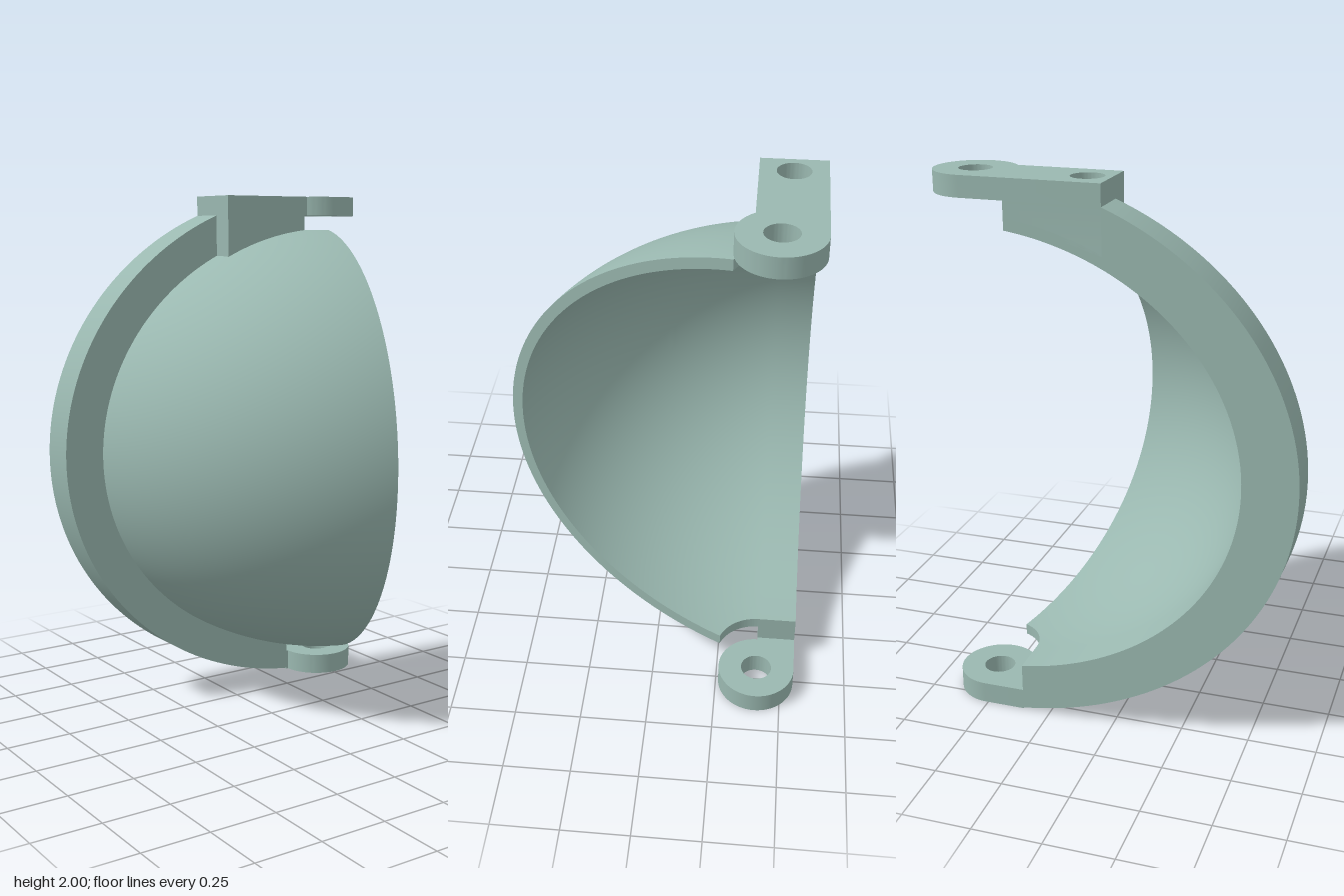
import * as THREE from 'three';
import { toCreasedNormals } from 'three/addons/utils/BufferGeometryUtils.js';

// Hinge axis (vertical), mid height and key sizes
const HX = 0.51, HZ = -0.405, CY = 1.005, BACK = -0.55;
const OUT = { a: 1.015, b: 0.873 }, INN = { a: 0.974, b: 0.832 };
const CLEAR = 0.155, EAR = 0.145, HOLE = 0.058;
const BOLT = { x: 0.1, z: -0.435 };

const paint = new THREE.MeshStandardMaterial({ color: 0x9ab8b0 });
paint.name = 'sage green';

function part(name, geometry) {
  const mesh = new THREE.Mesh(toCreasedNormals(geometry, 0.6), paint);
  mesh.name = name;
  return mesh;
}

// Height of an upper shell surface above plan position x, z
function shellY(e, x, z) {
  const r = Math.hypot(x - HX, Math.max(z - HZ, 0));
  return CY + e.b * Math.sqrt(Math.max(0, 1 - (r / e.a) ** 2));
}

// Half ellipse from top to bottom as [distance from axis, height]
function halfProfile(e, n) {
  const t0 = Math.asin(CLEAR / e.a), pts = [];
  for (let i = 0; i <= n; i++) {
    const t = t0 + (Math.PI - 2 * t0) * i / n;
    pts.push([e.a * Math.sin(t), CY + e.b * Math.cos(t)]);
  }
  return pts;
}

// Ellipsoidal shell swept round the hinge, with a straight strip at the back
function shellGeometry() {
  const n = 110, sweep = 64, strip = 10, end = THREE.MathUtils.degToRad(70);
  const loop = [...halfProfile(OUT, n), ...halfProfile(INN, n).reverse()];
  const m = loop.length, rows = strip + sweep, pos = [], index = [], inHole = [];
  for (let u = 0; u <= rows; u++) {
    const phi = Math.max(0, u - strip) / sweep * end;
    const shift = (BACK - HZ) * Math.max(0, 1 - u / strip);
    loop.forEach(([r, y], v) => {
      let x = HX - r * Math.cos(phi), z = HZ + shift + r * Math.sin(phi);
      // push points inside the bolt hole out to its rim
      const dx = x - BOLT.x, dz = z - BOLT.z, d = Math.hypot(dx, dz) || 1e-6;
      const inside = y > CY && d < HOLE;
      if (inside) {
        x = BOLT.x + dx * HOLE / d;
        z = BOLT.z + dz * HOLE / d;
        y = shellY(v <= n ? OUT : INN, x, z);
      }
      inHole.push(inside);
      pos.push(x, y, z);
    });
  }
  const tri = (a, b, c) => {
    if (!(inHole[a] && inHole[b] && inHole[c])) index.push(a, b, c);
  };
  for (let u = 0; u < rows; u++) {
    for (let v = 0; v < m; v++) {
      const a = u * m + v, b = u * m + (v + 1) % m;
      tri(a, b, a + m);
      tri(b, b + m, a + m);
    }
  }
  // rim faces at both ends of the sweep
  const top = rows * m;
  for (let i = 0; i < n; i++) {
    const o = i, o2 = i + 1, k = m - 1 - i, k2 = m - 2 - i;
    tri(top + o, top + o2, top + k);
    tri(top + o2, top + k2, top + k);
    tri(o, k, o2);
    tri(o2, k, k2);
  }
  const g = new THREE.BufferGeometry();
  g.setAttribute('position', new THREE.Float32BufferAttribute(pos, 3));
  g.setIndex(index);
  return g;
}

// Crescent flange round the back of the shell
function flangeGeometry() {
  const arc = (a, b, cy, xTop, xBottom) => {
    const t0 = Math.asin((HX - xTop) / a), t1 = Math.PI - Math.asin((HX - xBottom) / a);
    return Array.from({ length: 81 }, (_, i) => {
      const t = t0 + (t1 - t0) * i / 80;
      return new THREE.Vector2(HX - a * Math.sin(t), Math.max(0, cy + b * Math.cos(t)));
    });
  };
  const xTop = 0.015, xBottom = HX - CLEAR;
  const shape = new THREE.Shape([
    ...arc(1.17, 1.012, 1.007, xTop, xBottom),
    ...arc(OUT.a - 0.005, OUT.b - 0.005, CY, xTop, xBottom).reverse(),
  ]);
  return new THREE.ExtrudeGeometry(shape, { depth: HZ - BACK, bevelEnabled: false })
    .translate(0, 0, BACK);
}

// Upright extrusion of a plan drawn in x and -z
function plan(shape, y0, y1) {
  return new THREE.ExtrudeGeometry(shape, { depth: y1 - y0, bevelEnabled: false, curveSegments: 32 })
    .rotateX(-Math.PI / 2).translate(0, y0, 0);
}

function addHole(shape, x, z) {
  shape.holes.push(new THREE.Path().absarc(x, -z, HOLE, 0, Math.PI * 2, true));
  return shape;
}

// Hinge ear whose arm starts at x0 and is bounded at the front by zFront
function earShape(x0, zFront) {
  const s = new THREE.Shape();
  s.moveTo(x0, -BACK);
  s.lineTo(x0, -zFront);
  s.absarc(HX, -HZ, EAR, Math.PI + Math.asin((zFront - HZ) / EAR), Math.PI * 2.5, false);
  s.closePath();
  return addHole(s, HX, HZ);
}

// Mounting block, its underside following the shell
function blockGeometry() {
  const s = new THREE.Shape();
  s.moveTo(0.015, -BACK);
  s.lineTo(0.015, 0.32);
  s.absarc(HX, -HZ, CLEAR, Math.PI + Math.asin(0.085 / CLEAR), Math.PI, true);
  s.lineTo(HX - CLEAR, -BACK);
  s.closePath();
  const g = plan(addHole(s, BOLT.x, BOLT.z), 1.5, 1.925), p = g.attributes.position;
  for (let i = 0; i < p.count; i++) {
    if (p.getY(i) > 1.6) continue;
    const x = p.getX(i), z = p.getZ(i);
    const rim = Math.hypot(x - BOLT.x, z - BOLT.z) < HOLE + 0.005;
    p.setY(i, shellY(rim ? INN : OUT, x, z) - (rim ? 0 : 0.004));
  }
  return g;
}

export function createModel() {
  const model = new THREE.Group();
  model.name = 'hingedShell';
  model.add(
    part('shell', shellGeometry()),
    part('flange', flangeGeometry()),
    part('mountingBlock', blockGeometry()),
    part('topHingePlate', plan(addHole(earShape(0.015, -0.32), BOLT.x, BOLT.z), 1.925, 2)),
    part('bottomHingeEar', plan(earShape(HX - CLEAR, HZ), 0, 0.08)),
  );
  return model;
}
